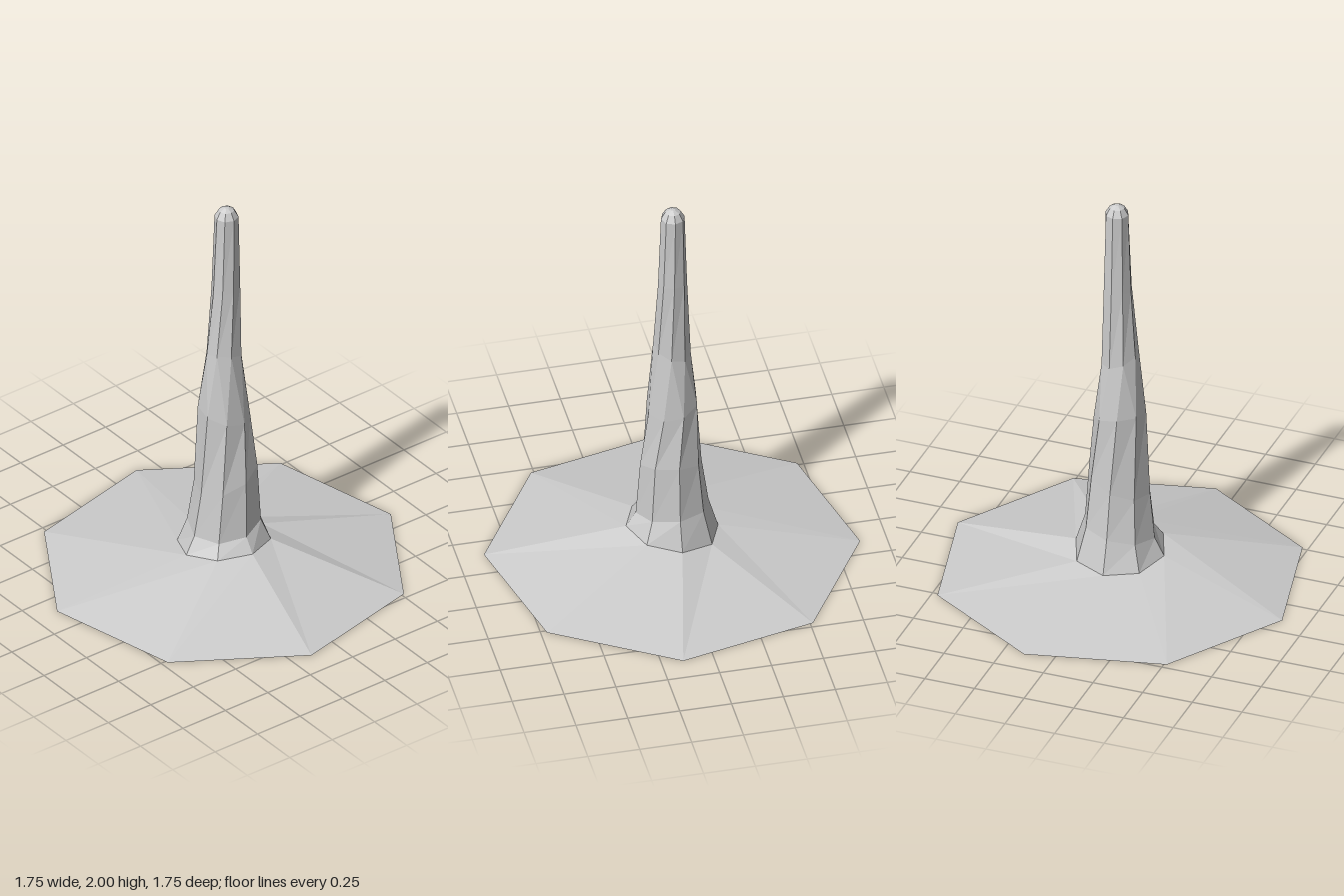
import * as THREE from 'three';

const SIDES = 8;

// Tilted, twisted octagon: centre (cx, y, cz), radius r, twist in degrees, slopes along x and z
function ring({ y, r, twist = 0, cx = 0, cz = 0, sx = 0, sz = 0 }) {
  return Array.from({ length: SIDES }, (_, i) => {
    const a = (i / SIDES) * Math.PI * 2 + THREE.MathUtils.degToRad(twist);
    const x = r * Math.sin(a), z = r * Math.cos(a);
    return [cx + x, y + sx * x + sz * z, cz + z];
  });
}

// Skin a stack of rings from bottom to top
function loft(name, specs, material) {
  const positions = specs.flatMap(s => ring(s).flat());
  const index = [];
  for (let k = 0; k < specs.length - 1; k++) {
    for (let i = 0; i < SIDES; i++) {
      const j = (i + 1) % SIDES;
      const a = k * SIDES + i, b = k * SIDES + j;
      index.push(a, b, b + SIDES, a, b + SIDES, a + SIDES);
    }
  }
  const geometry = new THREE.BufferGeometry();
  geometry.setAttribute('position', new THREE.Float32BufferAttribute(positions, 3));
  geometry.setIndex(index);
  const flat = geometry.toNonIndexed();
  flat.computeVertexNormals();
  const mesh = new THREE.Mesh(flat, material);
  mesh.name = name;
  return mesh;
}

export function createModel() {
  const group = new THREE.Group();
  group.name = 'spire';
  const grey = new THREE.MeshStandardMaterial({ color: 0xcccccc, flatShading: true });

  const rim = { y: 0, r: 0.885, twist: -9.5 };
  const foot = { y: 0.133, r: 0.222, sz: 0.15 };

  // Sloping mound around the foot of the column
  group.add(loft('mound', [rim, foot], grey));

  // Flat underside
  const underside = new THREE.Mesh(new THREE.CircleGeometry(rim.r, SIDES), grey);
  underside.name = 'underside';
  underside.rotation.set(Math.PI / 2, 0, THREE.MathUtils.degToRad(9.5));
  underside.rotation.order = 'XYZ';
  group.add(underside);

  // Irregular tapering column
  const shoulder = { y: 1.952, r: 0.057, cx: 0.015 };
  group.add(loft('column', [
    foot,
    { y: 0.25, r: 0.175, sx: 0.17, sz: -0.07 },
    { y: 0.51, r: 0.15, twist: 3, cx: 0.004, cz: 0.007, sx: 0.4, sz: 0.07 },
    { y: 0.86, r: 0.124, twist: 14, sx: -0.2, sz: -0.2 },
    { y: 1.18, r: 0.088, twist: -14, sx: -0.3, sz: 0.3 },
    { y: 1.56, r: 0.069, twist: -5, cx: 0.011, sx: 0.3 },
    shoulder,
  ], grey));

  // Rounded tip
  group.add(loft('tip', [
    shoulder,
    { y: 1.986, r: 0.037, cx: 0.015 },
    { y: 2, r: 0.012, cx: 0.015 },
  ], grey));
  const cap = new THREE.Mesh(new THREE.CircleGeometry(0.012, SIDES), grey);
  cap.name = 'tipCap';
  cap.rotation.x = -Math.PI / 2;
  cap.position.set(0.015, 2, 0);
  group.add(cap);

  return group;
}
